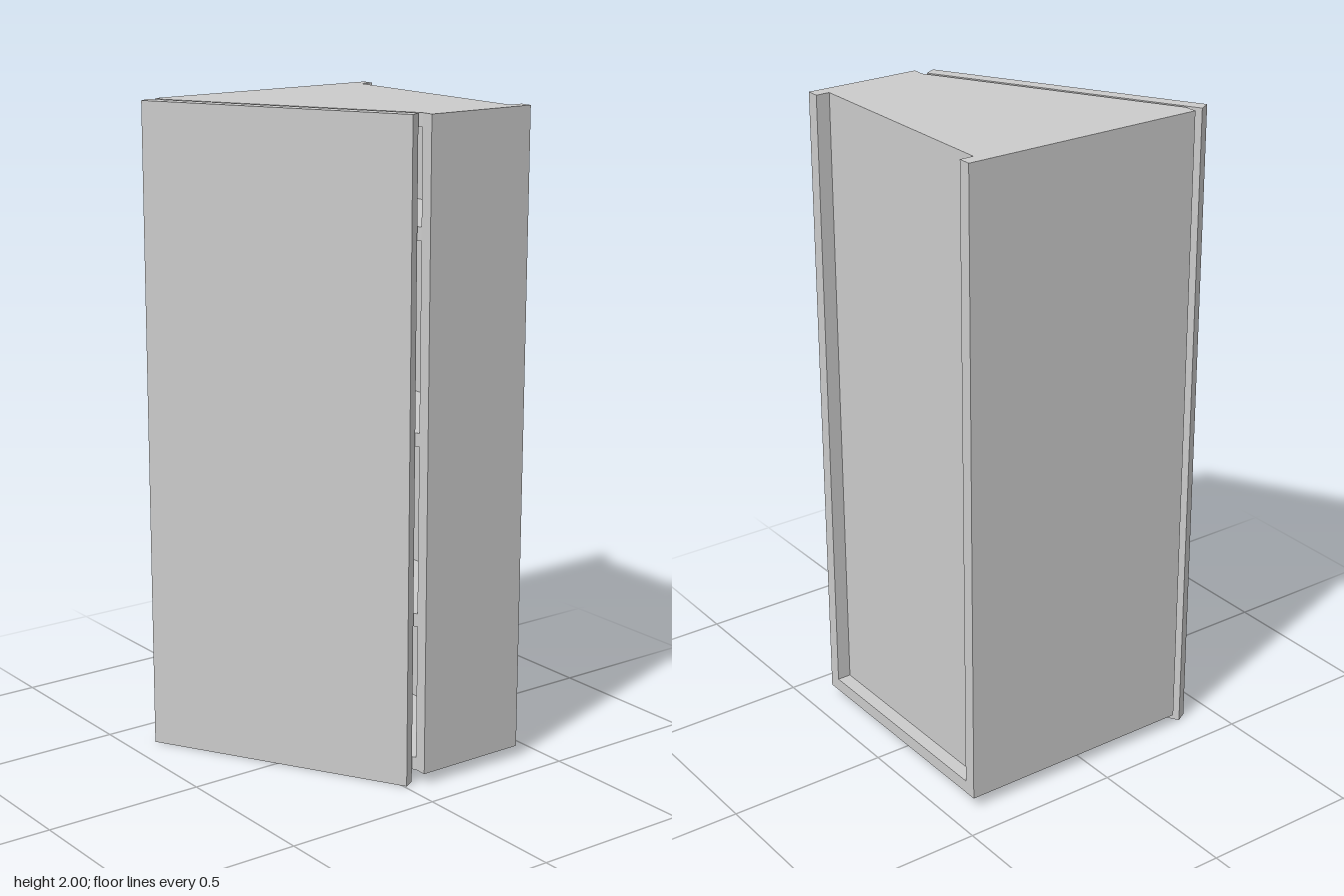
import * as THREE from 'three';

const material = new THREE.MeshStandardMaterial({ color: 0xcccccc, flatShading: true });

// Upright prism from a plan outline of [x, z] points, between two heights
function prism(name, outline, bottom, top) {
  const shape = new THREE.Shape(outline.map(([x, z]) => new THREE.Vector2(x, z)));
  const geometry = new THREE.ExtrudeGeometry(shape, { depth: top - bottom, bevelEnabled: false });
  geometry.rotateX(Math.PI / 2).translate(0, top, 0);
  const mesh = new THREE.Mesh(geometry, material);
  mesh.name = name;
  return mesh;
}

const rect = (x0, x1, z0, z1) => [[x0, z0], [x1, z0], [x1, z1], [x0, z1]];

export function createModel() {
  const cabinet = new THREE.Group();
  cabinet.name = 'cornerWallCabinet';

  const base = 0.035, top = 2, board = 0.04;
  const inner = 0.352, outer = 0.392, back = -0.418, panelZ = -0.375;
  const shortFront = -0.056, longFront = 0.349;

  // Side boards, one shallow and one deep
  cabinet.add(
    prism('leftSide', rect(inner, outer, back, shortFront), base, top),
    prism('rightSide', rect(-outer, -inner, back, longFront), base, top)
  );

  // Horizontal boards with the slanted front edge
  const slanted = (z) => [[-inner, z], [inner, z], [inner, shortFront], [-inner, longFront]];
  cabinet.add(
    prism('bottomBoard', slanted(back), base, base + board),
    prism('topBoard', slanted(panelZ), top - board, top)
  );
  for (const y of [0.49, 1.04, 1.64]) {
    cabinet.add(prism('shelf', slanted(panelZ + 0.01), y, y + board));
  }

  // Recessed back panel, let into the sides
  cabinet.add(prism('backPanel', rect(-0.374, 0.374, panelZ, panelZ + 0.01), base + board, top - board));

  // Slanted door standing just clear of the carcass
  cabinet.add(prism('door', [[0.35, -0.042], [0.37, -0.007], [-0.365, 0.415], [-0.385, 0.38]], 0, top));

  // Thin hinge plates in the gap at the shallow side
  for (const y of [0.49, 1.04, 1.64]) {
    cabinet.add(prism('hingePlate', [[0.25, 0.003], [0.298, -0.025], [0.301, -0.019], [0.253, 0.009]], y, y + board));
  }
  return cabinet;
}
